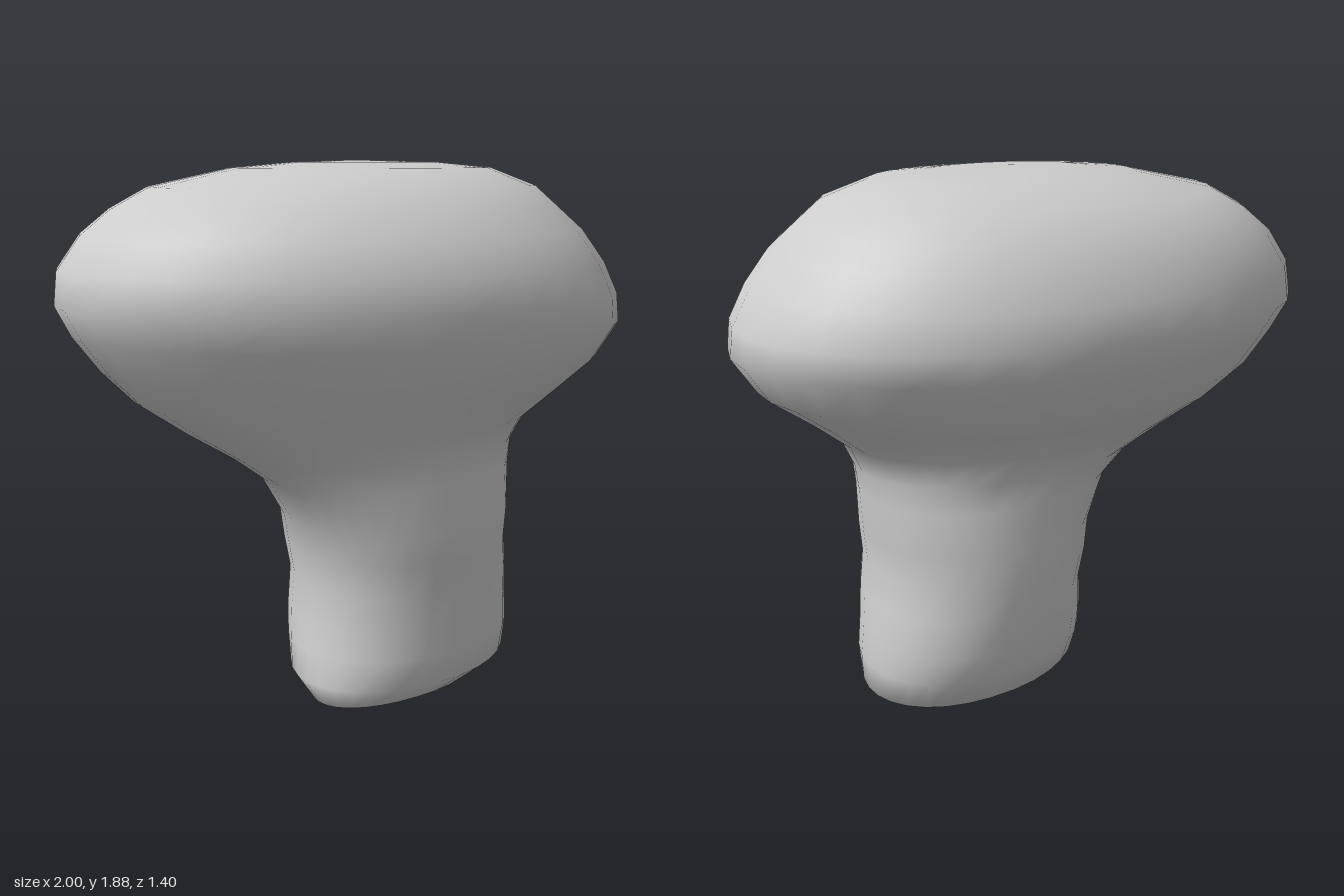
import * as THREE from 'three';

// Cross-sections from bottom to top: y, left edge, right edge, back edge, front edge,
// and skew (how far the oval is drawn out along the diagonal from -x +z to +x -z)
const SECTIONS = [
  // stem, with a slanting ridge underneath
  [0.02, -0.08, 0.33, -0.06, 0.28, 0.65],
  [0.05, -0.2, 0.52, -0.16, 0.36, 0.5],
  [0.12, -0.245, 0.62, -0.34, 0.41, 0.3],
  [0.22, -0.235, 0.625, -0.385, 0.41, 0.22],
  [0.32, -0.225, 0.615, -0.41, 0.41, 0.18],
  [0.45, -0.21, 0.6, -0.41, 0.415, 0.13],
  [0.56, -0.23, 0.58, -0.41, 0.435, 0.1],
  [0.67, -0.25, 0.59, -0.41, 0.45, 0.12],
  [0.82, -0.34, 0.6, -0.39, 0.455, 0.18],
  // flare into the cap
  [0.91, -0.46, 0.61, -0.38, 0.465, 0.18],
  [1.0, -0.61, 0.65, -0.42, 0.505, 0.12],
  [1.1, -0.76, 0.78, -0.51, 0.57, 0.07],
  [1.2, -0.86, 0.92, -0.6, 0.62, 0.05],
  // cap
  [1.32, -0.95, 1.0, -0.66, 0.68, 0.05],
  [1.42, -1.0, 0.99, -0.7, 0.7, 0.05],
  [1.53, -0.99, 0.93, -0.67, 0.69, 0.05],
  [1.64, -0.91, 0.85, -0.63, 0.63, 0.05],
  [1.72, -0.81, 0.76, -0.56, 0.55, 0.05],
  [1.79, -0.68, 0.68, -0.49, 0.47, 0.05],
  [1.85, -0.4, 0.52, -0.35, 0.32, 0.05],
  [1.868, -0.2, 0.33, -0.18, 0.16, 0.05],
];
const BOTTOM = [0.17, 0, 0.03];
const TOP = [0.03, 1.875, 0];
const SIDES = 32;

// Slightly squared-off circle
const fuller = (v) => Math.sign(v) * Math.abs(v) ** 0.95;

// Closed skin through oval rings, with one point at each end
function loft(sections, bottom, top) {
  const pos = [];
  const index = [];
  for (const [y, x0, x1, z0, z1, skew] of sections) {
    for (let i = 0; i < SIDES; i++) {
      const t = (i / SIDES) * Math.PI * 2;
      pos.push(
        (x0 + x1) / 2 + ((x1 - x0) / 2) * fuller(Math.cos(t + skew / 2)),
        y,
        (z0 + z1) / 2 + ((z1 - z0) / 2) * fuller(Math.sin(t - skew / 2))
      );
    }
  }
  const rings = sections.length;
  const low = rings * SIDES;
  const high = low + 1;
  pos.push(...bottom, ...top);
  for (let i = 0; i < SIDES; i++) {
    const n = (i + 1) % SIDES;
    for (let r = 0; r < rings - 1; r++) {
      const a = r * SIDES + i;
      const b = r * SIDES + n;
      index.push(a, a + SIDES, b, b, a + SIDES, b + SIDES);
    }
    const last = (rings - 1) * SIDES;
    index.push(low, i, n, high, last + n, last + i);
  }
  const geo = new THREE.BufferGeometry();
  geo.setAttribute('position', new THREE.Float32BufferAttribute(pos, 3));
  geo.setIndex(index);
  geo.computeVertexNormals();
  return geo;
}

export function createModel() {
  const group = new THREE.Group();
  group.name = 'mushroom';
  const grey = new THREE.MeshStandardMaterial({ color: 0xcccccc });
  grey.name = 'light grey';

  // stem and cap are one continuous smooth skin
  const body = new THREE.Mesh(loft(SECTIONS, BOTTOM, TOP), grey);
  body.name = 'stemAndCap';
  group.add(body);
  return group;
}
